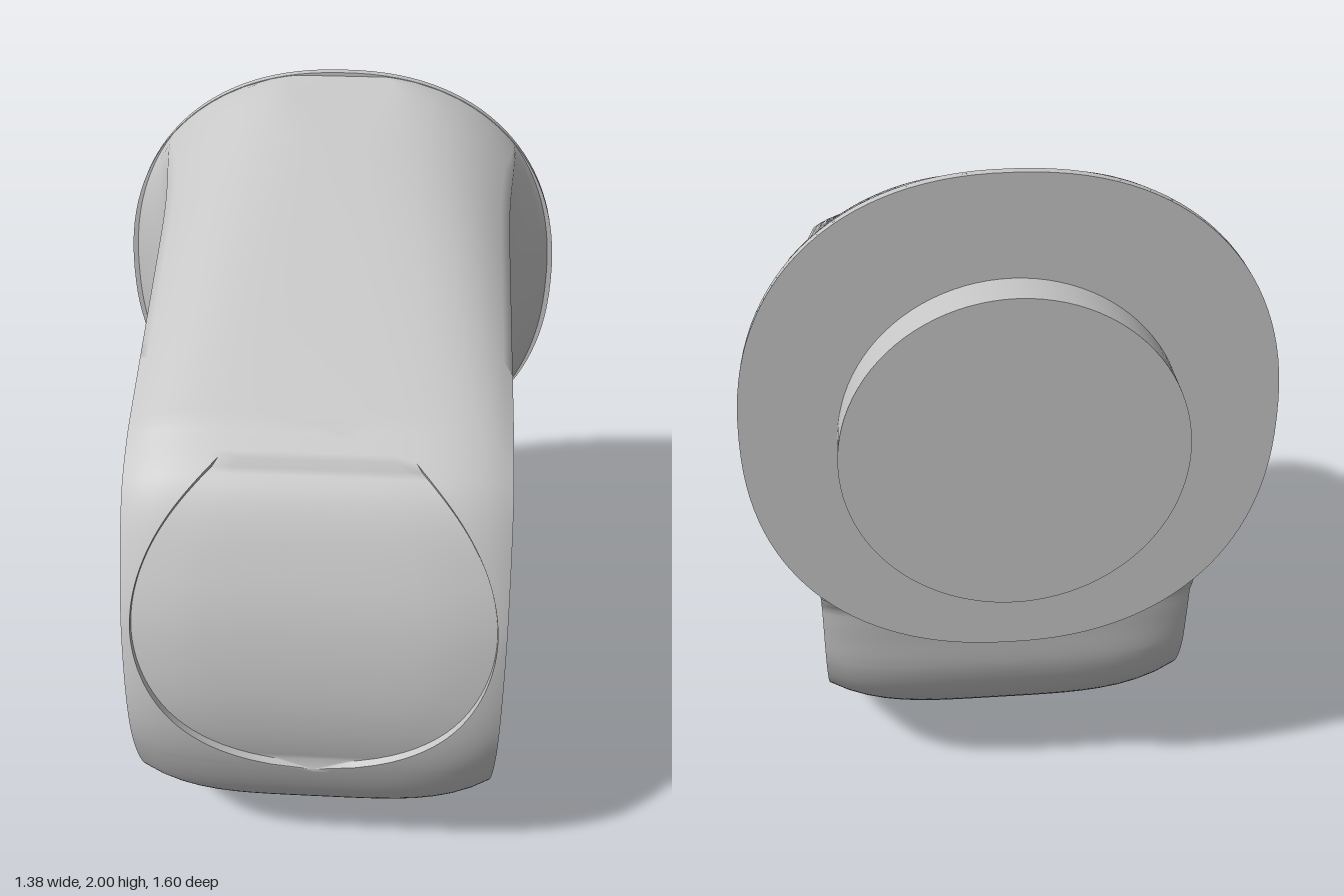
import * as THREE from 'three';
import { toCreasedNormals } from 'three/addons/utils/BufferGeometryUtils.js';

const CY = 0.8, CZ = 0.085;        // bore centre
const BORE = 0.615, RECESS = 0.64; // lip radius and the wider bore between the lips
const HALF = 0.515, LIP_X = 0.455; // band half width and inner edge of the lips
const HEAD_Y = 1.31, HEAD_R = 0.69, HEAD_POWER = 2.25; // slightly squared round head
const BACK = -0.68, TIP_Y = 1.995, SLOPE = 0.4655;
const PATCH_Y = 1, PATCH_R = 0.49, PATCH_TOP = 1.415;  // round cut along z, flat on top
const { clamp, lerp, smoothstep } = THREE.MathUtils;

// Skin a list of equally long rows of [x, y, z] points, closed around the rows
function skin(rows, crease) {
  const n = rows[0].length, m = rows.length, index = [];
  for (let i = 0; i < m; i++) {
    for (let j = 0; j < n - 1; j++) {
      const a = i * n + j, c = ((i + 1) % m) * n + j;
      index.push(a, a + 1, c, a + 1, c + 1, c);
    }
  }
  const geo = new THREE.BufferGeometry();
  geo.setAttribute('position', new THREE.Float32BufferAttribute(rows.flat(2), 3));
  geo.setIndex(index);
  return toCreasedNormals(geo, crease);
}

// Side outline of the ring as [z, y]: sloped top, round band, flat back
function sideOutline() {
  const out = [];
  for (let i = 0; i < 40; i++) {
    const z = lerp(BACK, 0.45, i / 40);
    out.push([z, TIP_Y - (z - BACK) * SLOPE]);
  }
  const curve = new THREE.CatmullRomCurve3([
    [0.45, 1.469], [0.6, 1.36], [0.72, 1.15], [0.78, 0.96], [0.803, 0.72], [0.77, 0.5],
    [0.67, 0.28], [0.5, 0.12], [0.29, 0.02], [0.09, 0], [-0.1, 0.018], [-0.3, 0.1],
    [-0.48, 0.237], [-0.59, 0.36], [-0.64, 0.48], [-0.657, 0.62], [-0.67, 0.75], [BACK, 0.9],
  ].map(([z, y]) => new THREE.Vector3(0, y, z)), false, 'centripetal');
  curve.getSpacedPoints(170).forEach((p) => out.push([p.z, p.y]));
  for (let i = 1; i < 40; i++) out.push([BACK, lerp(0.9, TIP_Y, i / 40)]);
  return out;
}

// Distance below the sloped top
const slopeDepth = (y, z) => (TIP_Y - (z - BACK) * SLOPE - y) * 0.906;

// How far a point has moved along the slope towards the head, 0 to 1
const headward = (y, z) => clamp((0.45 - z) / 1.13, 0, 1) * clamp((y - 1) / 0.3, 0, 1);

// Depth and roundness of the shoulder: tight in front, softer underneath and at the head
function shoulder(y, z) {
  const band = lerp(0.08, 0.035, smoothstep(y, 0.15, 0.7));
  const top = lerp(0.035, 0.055, clamp((y - 1) / 0.4, 0, 1));
  return Math.max(band, top) + 0.13 * headward(y, z);
}
const shoulderPower = (y, z) => lerp(lerp(4, 6, smoothstep(y, 0.15, 0.7)), 2.3, headward(y, z));

// Half width of the head plate at height y
function headWidth(y) {
  const t = Math.min(1, Math.abs(y - HEAD_Y) / HEAD_R);
  return HEAD_R * Math.pow(1 - Math.pow(t, HEAD_POWER), 1 / HEAD_POWER);
}

// Half width of the round cut at height y
const patchWidth = (y) =>
  Math.sqrt(Math.max(0, PATCH_R ** 2 - (Math.min(y, PATCH_TOP) - PATCH_Y) ** 2));
const inPatch = (y) => y > PATCH_Y - PATCH_R && y < PATCH_TOP;

// Half width of the body at a point lying `depth` inside the outline
function halfWidth(y, z, depth) {
  const d = Math.max(0, Math.min(depth, slopeDepth(y, z)));
  const band = HALF * Math.pow(Math.min(1, d / shoulder(y, z)), 1 / shoulderPower(y, z));
  const flare = Math.pow(clamp((-z - 0.2) / (-BACK - 0.2), 0, 1), 3.6);
  const mixed = lerp(band, headWidth(y), flare);
  return y > HEAD_Y ? mixed : Math.max(band, mixed);
}

// Band and flared shoulders: one cross-section for every point of the outline
function bodyGeometry() {
  const rows = sideOutline().map(([oz, oy]) => {
    const R = Math.hypot(oz - CZ, oy - CY);
    const uz = (oz - CZ) / R, uy = (oy - CY) / R;
    const at = (r) => [CY + uy * r, CZ + uz * r];
    const flatBack = oz < -0.6 ? 0.5 * Math.max(0, oy - 0.72) : 0;

    // Find where this ray crosses the edge of the shoulder
    const onHead = oy > 1.2 && oz < 0.45;
    const start = onHead ? slopeDepth(oy, oz) : flatBack;
    const rate = onHead ? 0.422 * uz + 0.906 * uy : 1;
    let bevel = 0.05;
    for (let k = 0; k < 8; k++) {
      bevel = clamp((shoulder(...at(R - bevel)) - start) / rate, 0.02, (R - BORE) * 0.8);
    }
    const power = shoulderPower(...at(R - bevel));

    const half = [];
    const add = (r, x) => half.push([x, ...at(r)]);
    add(RECESS, LIP_X);
    add(BORE, LIP_X);
    const width = (r) => halfWidth(...at(r), R - r + flatBack);
    for (let k = 0; k <= 14; k++) {
      const r = lerp(BORE, R - bevel, k / 14);
      add(r, width(r));
    }
    // Tread, stepping in slightly where the round patch sits in the front
    const edge = patchWidth(oy) / HALF;
    const dent = oz > 0.3 && inPatch(oy) ? 0.02 : 0;
    const addTread = (s, drop) => {
      const r = R - bevel * Math.pow(s, power);
      add(r - drop, width(r));
    };
    for (let k = 1; k <= 10; k++) addTread(lerp(1, edge, k / 10), 0);
    for (let k = 0; k <= 5; k++) addTread(edge * (1 - k / 5), dent);
    const other = half.map(([x, y, z]) => [-x, y, z]).reverse();
    return [...half, [0, ...at(R - dent)], ...other];
  });
  return skin(rows, 0.9);
}

// Bore wall between the lips, with a round pocket sunk behind the head
function boreGeometry() {
  const rows = [], steps = 200;
  for (let i = 0; i < steps; i++) {
    const a = (i / steps) * Math.PI * 2;
    const y = CY - RECESS * Math.sin(a), z = CZ + RECESS * Math.cos(a);
    const c = Math.min(LIP_X, patchWidth(y));
    const floor = z < CZ && inPatch(y) ? -0.62 : z;
    rows.push([[-LIP_X, y, z], [-c, y, z], [-c, y, floor],
      [c, y, floor], [c, y, z], [LIP_X, y, z]]);
  }
  return skin(rows, 0.5);
}

// Thin plate with the squared round outline of the head
function headPlateGeometry() {
  const points = [];
  for (let i = 0; i < 120; i++) {
    const a = (i / 120) * Math.PI * 2;
    const squared = (v) => Math.sign(v) * HEAD_R * Math.pow(Math.abs(v), 2 / HEAD_POWER);
    points.push(new THREE.Vector2(squared(Math.cos(a)), squared(Math.sin(a))));
  }
  const geo = new THREE.ExtrudeGeometry(new THREE.Shape(points), { depth: 0.026, bevelEnabled: false });
  return toCreasedNormals(geo, 0.5);
}

export function createModel() {
  const group = new THREE.Group();
  group.name = 'signetRing';
  const metal = new THREE.MeshStandardMaterial({ color: 0xc6c6c6, side: THREE.DoubleSide });
  metal.name = 'grey metal';

  const add = (name, geometry, y = 0, z = 0) => {
    const mesh = new THREE.Mesh(geometry, metal);
    mesh.name = name;
    mesh.position.set(0, y, z);
    group.add(mesh);
  };

  add('band', bodyGeometry());
  add('boreWall', boreGeometry());
  add('headPlate', headPlateGeometry(), HEAD_Y, -0.693);

  // Raised round disc on the head
  const disc = new THREE.CylinderGeometry(0.443, 0.443, 0.125, 96);
  disc.rotateX(Math.PI / 2);
  add('raisedDisc', disc, 1.288, -0.745);

  return group;
}
